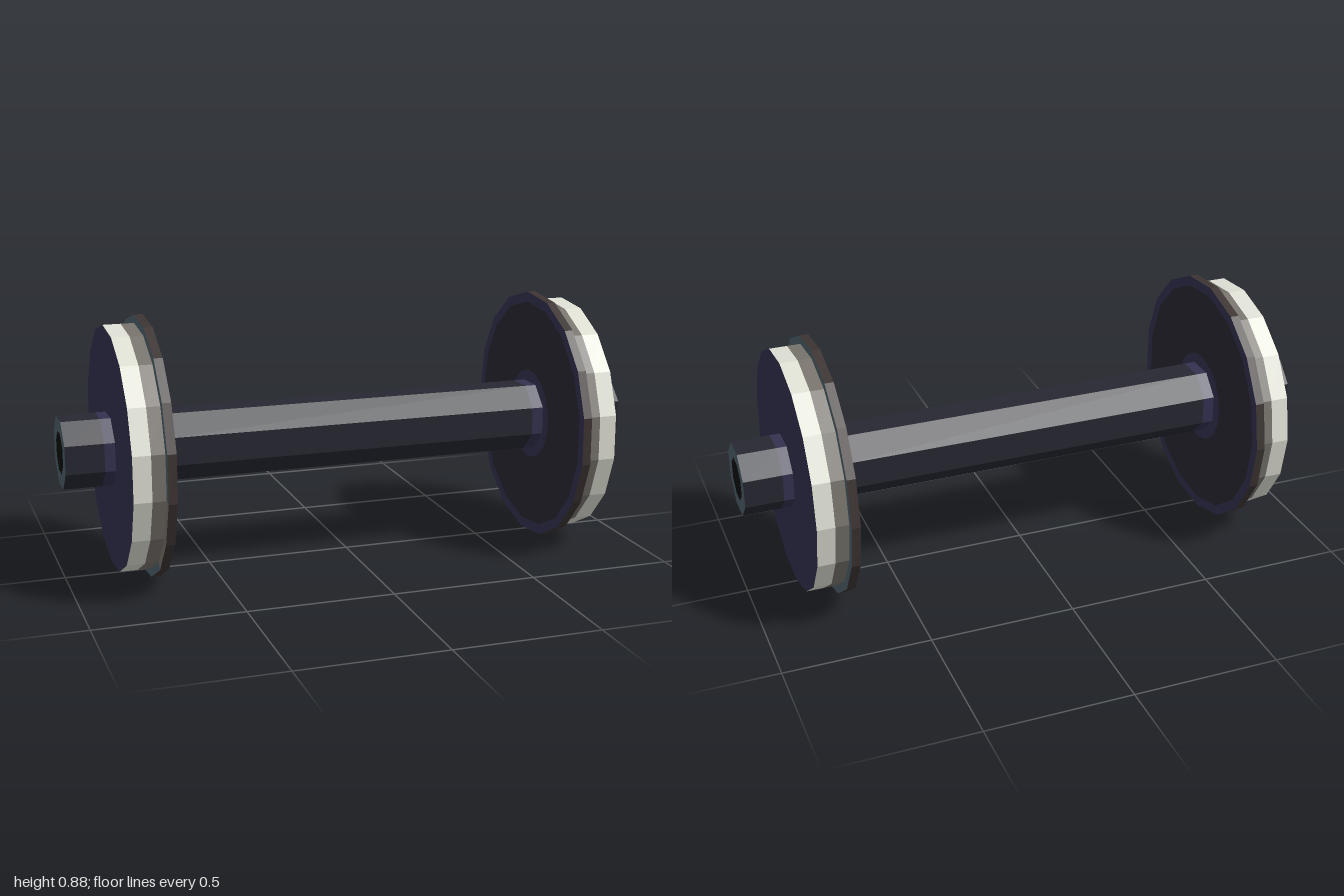
import * as THREE from 'three';

const mat = (name, color) => {
  const m = new THREE.MeshStandardMaterial({ color });
  m.name = name;
  return m;
};

export function createModel() {
  const navy = mat('navy', 0x33314f);
  const dark = mat('dark steel', 0x262731);
  const teal = mat('slate teal', 0x4d6168);
  const brown = mat('dark brown', 0x3c3432);
  const grey = mat('warm grey', 0x77736c);
  const light = mat('pale steel', 0xdfe0d4);
  const black = mat('black', 0x0e0e0e);

  const group = new THREE.Group();
  group.name = 'wheelset';
  group.position.set(0, 0.44, 0.004);

  // Faceted strip turned around the x axis; points are [x, radius], side -1 mirrors it
  function strip(parent, name, material, points, sides, phase, side = 1, count = sides) {
    const pts = points.map(([x, r]) => new THREE.Vector2(r, x * side));
    if (side < 0) pts.reverse();
    const indexed = new THREE.LatheGeometry(pts, count, phase, (count / sides) * Math.PI * 2);
    indexed.rotateZ(-Math.PI / 2);
    const geo = indexed.toNonIndexed();
    geo.computeVertexNormals();
    const mesh = new THREE.Mesh(geo, material);
    mesh.name = name;
    parent.add(mesh);
  }

  const R = 0.4417, T = 0.4135, A = 0.1245, BORE = 0.073;
  const N = 17, step = Math.PI / N;
  const inner = 0.70, flange = 0.73, mid = 0.775, outer = 0.835;

  // Axle shaft between the wheels
  strip(group, 'axle', dark, [[-0.66, A], [0.66, A]], 8, Math.PI / 8);

  for (const side of [1, -1]) {
    const wheel = new THREE.Group();
    wheel.name = side > 0 ? 'leftWheel' : 'rightWheel';
    group.add(wheel);
    const ring = (name, m, pts) => strip(wheel, name, m, pts, N, Math.PI, side);
    const octagon = (name, m, pts) => strip(wheel, name, m, pts, 8, Math.PI / 8, side);

    // Inner face
    ring('innerHubRing', navy, [[inner, 0.1], [inner, 0.16]]);
    ring('innerDisc', dark, [[inner, 0.16], [inner, 0.407]]);
    ring('innerRim', navy, [[inner, 0.407], [inner, R]]);

    // Flange, with a worn patch on its outer side
    ring('flangeEdge', brown, [[inner, R], [flange, R]]);
    const shoulder = [[flange, R], [flange, T]];
    strip(wheel, 'flangeShoulder', teal, shoulder, N, 5 * step, side, N - 2);
    strip(wheel, 'flangeWear', grey, shoulder, N, step, side, 2);

    // Tread and outer face
    ring('innerTread', grey, [[flange, T], [mid, T]]);
    ring('outerTread', light, [[mid, T], [outer, T]]);
    ring('outerFace', navy, [[outer, T], [outer, 0.1]]);

    // Axle collars, stub and bored end
    octagon('innerCollar', navy, [[0.66, A], [inner, A]]);
    octagon('outerCollar', navy, [[outer, A], [0.87, A]]);
    octagon('axleStub', dark, [[0.87, A], [1, A]]);
    octagon('axleEnd', teal, [[1, A], [1, BORE]]);
    octagon('axleBore', black, [[1, BORE], [1, 0]]);
  }
  return group;
}
